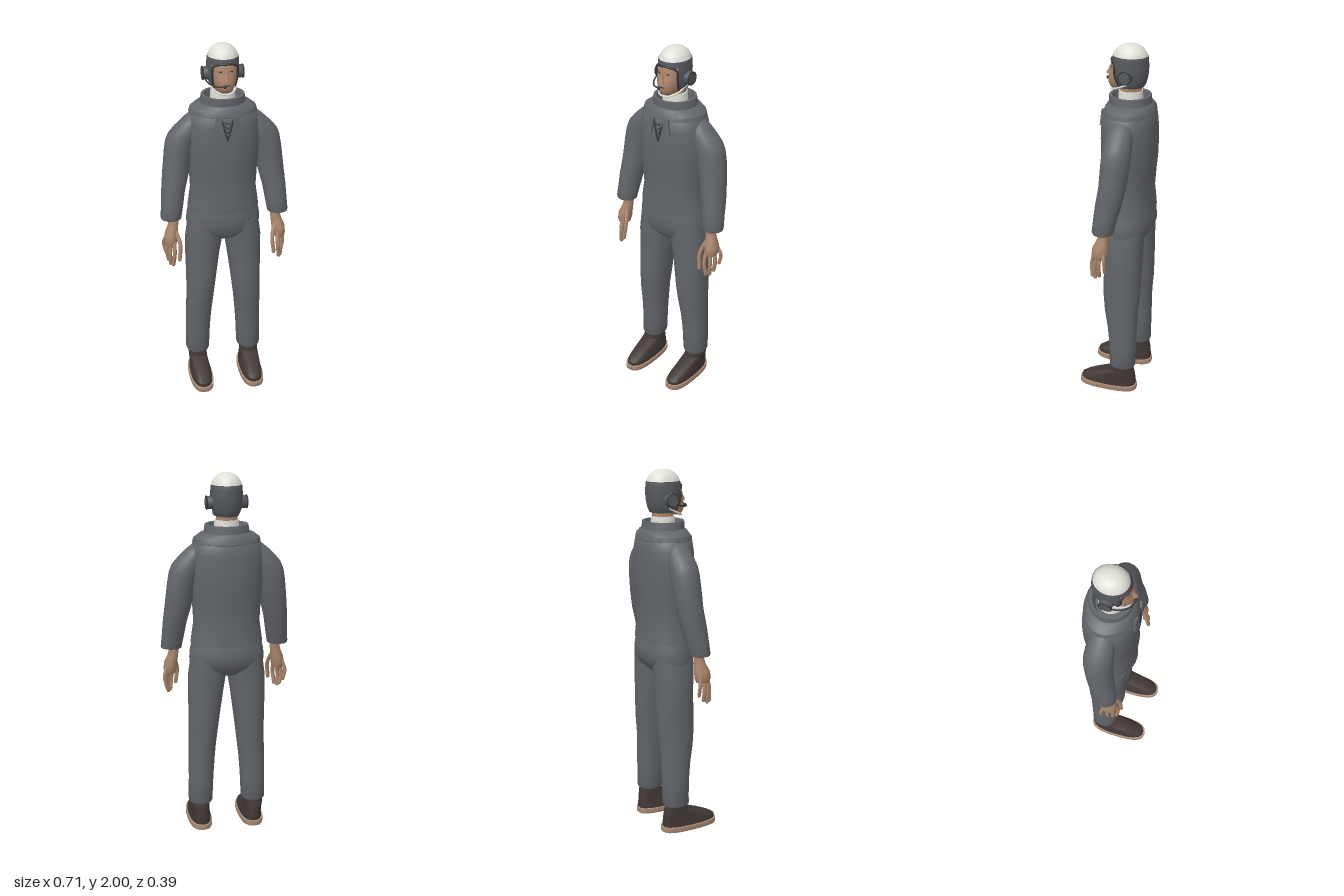
import * as THREE from 'three';
import { toCreasedNormals } from 'three/addons/utils/BufferGeometryUtils.js';

const mat = (name, color) => Object.assign(new THREE.MeshStandardMaterial({ color }), { name });

// Stack of horizontal superellipse rings, bottom to top: [y, xCentre, zBack, zFront, xRadius]
function loft(rings, { n = 32, power = 2, caps = true, side = 1, crease = 0.75 } = {}) {
  const pos = [], idx = [];
  const bend = v => Math.sign(v) * Math.abs(v) ** (2 / power);
  for (const [y, cx, back, front, rx] of rings) {
    for (let j = 0; j < n; j++) {
      const a = (j / n) * Math.PI * 2;
      pos.push(side * cx + rx * bend(Math.cos(a)), y,
        (back + front) / 2 + (front - back) / 2 * bend(Math.sin(a)));
    }
  }
  for (let i = 0; i < rings.length - 1; i++) {
    for (let j = 0; j < n; j++) {
      const k = (j + 1) % n, a = i * n + j, b = i * n + k;
      idx.push(a, a + n, b, b, a + n, b + n);
    }
  }
  if (caps) {
    [0, rings.length - 1].forEach((r, top) => {
      const [y, cx, back, front] = rings[r], c = pos.length / 3;
      pos.push(side * cx, y, (back + front) / 2);
      for (let j = 0; j < n; j++) {
        const a = r * n + j, b = r * n + (j + 1) % n;
        idx.push(c, top ? b : a, top ? a : b);
      }
    });
  }
  const g = new THREE.BufferGeometry();
  g.setAttribute('position', new THREE.Float32BufferAttribute(pos, 3));
  g.setIndex(idx);
  return toCreasedNormals(g, crease);
}

const tube = (pts, r, closed = false) => new THREE.TubeGeometry(
  new THREE.CatmullRomCurve3(pts.map(p => new THREE.Vector3(...p)), closed), 24, r, 7, closed);

export function createModel() {
  const suit = mat('suit grey', 0x62656a);
  const helmet = mat('helmet grey', 0x55585d);
  helmet.side = THREE.DoubleSide;
  const white = mat('helmet white', 0xe0dfd8);
  const skin = mat('skin', 0xa9846a);
  const leather = mat('shoe leather', 0x403835);
  const soleTan = mat('sole tan', 0xb08e76);
  const dark = mat('dark trim', 0x35373a);
  const model = new THREE.Group();
  const add = (name, geometry, material, x = 0, y = 0, z = 0, parent = model) => {
    const m = new THREE.Mesh(geometry, material);
    m.name = name;
    m.position.set(x, y, z);
    parent.add(m);
    return m;
  };

  // Jacket body and trouser seat
  add('jacketBody', loft([
    [1.085, 0, -0.187, 0.088, 0.197], [1.12, 0, -0.185, 0.09, 0.192], [1.2, 0, -0.177, 0.081, 0.181],
    [1.3, 0, -0.184, 0.089, 0.186], [1.4, 0, -0.193, 0.097, 0.194], [1.5, 0, -0.194, 0.098, 0.199],
    [1.58, 0, -0.19, 0.094, 0.196], [1.63, 0, -0.184, 0.085, 0.182], [1.67, 0, -0.16, 0.06, 0.14],
  ], { n: 40, power: 2.2 }), suit);
  add('trouserSeat', loft([
    [0.9, 0, -0.1, 0.02, 0.06], [0.915, 0, -0.135, 0.045, 0.13], [0.95, 0, -0.168, 0.07, 0.2],
    [1, 0, -0.187, 0.08, 0.206], [1.05, 0, -0.186, 0.084, 0.201], [1.12, 0, -0.17, 0.075, 0.182],
  ], { n: 40, power: 2.2 }), suit);

  // Flared cape collar with an open standing neck band
  add('collar', loft([
    [1.632, 0, -0.18, 0.08, 0.17], [1.637, 0, -0.188, 0.088, 0.184], [1.66, 0, -0.184, 0.083, 0.178],
    [1.683, 0, -0.173, 0.07, 0.146], [1.69, 0, -0.164, 0.062, 0.122], [1.73, 0, -0.16, 0.062, 0.116],
    [1.73, 0, -0.145, 0.047, 0.1], [1.67, 0, -0.13, 0.03, 0.085],
  ], { n: 40, caps: false, crease: 0.5 }), suit);
  add('undershirtCollar', loft([
    [1.68, 0, -0.118, 0.016, 0.07], [1.755, 0, -0.114, 0.012, 0.064],
    [1.755, 0, -0.11, 0.006, 0.058], [1.7, 0, -0.11, 0.006, 0.058],
  ], { caps: false }), white);

  // Laced neck opening with two hanging tails
  for (const s of [-1, 1]) {
    const tail = add('collarTail', new THREE.BoxGeometry(0.035, 0.085, 0.012), suit, s * 0.05, 1.603, 0.092);
    tail.rotation.set(-0.1, s * 0.2, s * 0.2);
    add('neckOpeningEdge', tube([[s * 0.032, 1.64, 0.09], [s * 0.018, 1.58, 0.097], [0, 1.515, 0.099]], 0.004), dark);
    for (let i = 0; i < 4; i++) {
      const y = 1.62 - i * 0.024, w = s * (0.024 - i * 0.005);
      add('lace', tube([[-w, y, 0.095], [w, y - 0.02, 0.099]], 0.0025), dark);
    }
  }

  for (const s of [1, -1]) {
    // Trouser leg
    add('trouserLeg', loft([
      [0.155, 0.151, -0.127, 0.012, 0.063], [0.165, 0.151, -0.131, 0.016, 0.067],
      [0.3, 0.147, -0.133, 0.02, 0.069], [0.4, 0.143, -0.136, 0.03, 0.072],
      [0.5, 0.137, -0.139, 0.048, 0.076], [0.6, 0.13, -0.149, 0.058, 0.081],
      [0.7, 0.124, -0.153, 0.058, 0.088], [0.8, 0.118, -0.155, 0.054, 0.096],
      [0.9, 0.109, -0.158, 0.062, 0.103], [1.02, 0.1, -0.165, 0.065, 0.095],
    ], { side: s, power: 2.2 }), suit);

    // Sleeve
    add('sleeve', loft([
      [1.05, 0.297, -0.05, 0.06, 0.056], [1.06, 0.297, -0.054, 0.063, 0.058],
      [1.12, 0.289, -0.068, 0.058, 0.061], [1.2, 0.28, -0.09, 0.05, 0.065],
      [1.3, 0.262, -0.11, 0.036, 0.073], [1.42, 0.245, -0.125, 0.03, 0.077],
      [1.48, 0.23, -0.127, 0.028, 0.082], [1.52, 0.212, -0.124, 0.026, 0.084],
      [1.56, 0.186, -0.118, 0.02, 0.076], [1.6, 0.16, -0.108, 0.01, 0.06],
      [1.64, 0.135, -0.085, -0.015, 0.035],
    ], { side: s, n: 20, crease: 1 }), suit);

    // Hand: wrist and palm, then five digits
    add('palm', loft([
      [0.9, 0.303, -0.015, 0.06, 0.03], [0.92, 0.304, -0.025, 0.067, 0.036],
      [0.96, 0.3, -0.025, 0.062, 0.037], [1, 0.29, -0.022, 0.042, 0.03],
      [1.03, 0.284, -0.02, 0.036, 0.028], [1.08, 0.285, -0.025, 0.036, 0.028],
    ], { side: s, n: 16 }), skin);
    const digits = [
      [[0.278, 0.98, 0.035], [0.258, 0.91, 0.068], [0.265, 0.825, 0.08]],
      [[0.29, 0.93, 0.05], [0.29, 0.86, 0.07], [0.298, 0.79, 0.065]],
      [[0.303, 0.92, 0.035], [0.313, 0.85, 0.048], [0.31, 0.787, 0.045]],
      [[0.316, 0.92, 0.015], [0.328, 0.86, 0.02], [0.318, 0.802, 0.02]],
      [[0.325, 0.94, -0.005], [0.34, 0.89, -0.015], [0.33, 0.835, -0.015]],
    ];
    digits.forEach((d, i) => {
      const pts = d.map(([x, y, z]) => [s * x, y, z]);
      const r = i === 4 ? 0.0095 : 0.011;
      add(i ? 'finger' : 'thumb', tube(pts, r), skin);
      add('fingertip', new THREE.SphereGeometry(r, 8, 6), skin, ...pts[2]);
    });

    // Shoe
    add('shoeSole', loft([
      [0, 0.148, -0.138, 0.195, 0.064], [0.006, 0.148, -0.14, 0.198, 0.067], [0.03, 0.148, -0.14, 0.197, 0.067],
    ], { side: s, power: 2.7 }), soleTan);
    add('shoeUpper', loft([
      [0.028, 0.148, -0.133, 0.189, 0.06], [0.05, 0.148, -0.134, 0.188, 0.059],
      [0.068, 0.149, -0.132, 0.16, 0.056], [0.095, 0.151, -0.13, 0.1, 0.053],
      [0.125, 0.153, -0.122, 0.015, 0.052], [0.18, 0.154, -0.11, 0, 0.052],
    ], { side: s, n: 18, power: 2.5, crease: 0.4 }), leather);
  }

  // Neck and face
  add('neck', loft([[1.66, 0, -0.11, 0.005, 0.058], [1.83, 0, -0.108, 0, 0.056]]), skin);
  add('face', loft([
    [1.757, 0, 0, 0.042, 0.024], [1.768, 0, -0.06, 0.06, 0.042], [1.79, 0, -0.1, 0.069, 0.054],
    [1.82, 0, -0.11, 0.068, 0.064], [1.85, 0, -0.11, 0.06, 0.07], [1.875, 0, -0.11, 0.051, 0.072],
    [1.9, 0, -0.11, 0.054, 0.072], [1.935, 0, -0.11, 0.03, 0.06],
  ], { power: 2.2 }), skin);
  const nose = add('nose', new THREE.ConeGeometry(0.016, 0.055, 8), skin, 0, 1.858, 0.063);
  nose.rotation.x = -0.2;
  for (const s of [-1, 1]) {
    const eye = add('eye', new THREE.SphereGeometry(0.008, 10, 6), leather, s * 0.028, 1.877, 0.047);
    eye.scale.set(1.2, 0.5, 0.4);
  }
  add('mouth', new THREE.BoxGeometry(0.034, 0.005, 0.008), leather, 0, 1.808, 0.067);

  // Helmet: white crown, brow band and grey shell open at the face
  const turn = (pts, start = 0, length = Math.PI * 2) => new THREE.LatheGeometry(
    new THREE.SplineCurve(pts.map(p => new THREE.Vector2(...p))).getPoints(16), 40, start, length);
  const shellPart = (name, geo, m) => add(name, geo, m, 0, 0, -0.049).scale.set(1, 1, 1.14);
  shellPart('helmetCrown', turn([[0.08, 1.938], [0.07, 1.962], [0.053, 1.982], [0.03, 1.995], [0, 2]]), white);
  shellPart('helmetBrow', turn([[0.0845, 1.908], [0.084, 1.92], [0.081, 1.939]]), helmet);
  const gap = 0.86;
  shellPart('helmetShell', turn([
    [0.064, 1.775], [0.075, 1.8], [0.083, 1.84], [0.0855, 1.88], [0.0845, 1.91],
  ], gap, Math.PI * 2 - 2 * gap), helmet);
  add('faceOpeningTrim', tube([
    [-0.056, 1.78, -0.005], [-0.066, 1.84, 0.016], [-0.063, 1.895, 0.02], [-0.035, 1.912, 0.041],
    [0, 1.916, 0.05], [0.035, 1.912, 0.041], [0.063, 1.895, 0.02], [0.066, 1.84, 0.016], [0.056, 1.78, -0.005],
  ], 0.006), dark);

  // Ear cups, chin strap and microphone boom
  for (const s of [-1, 1]) {
    const cup = add('earCup', new THREE.CylinderGeometry(0.032, 0.037, 0.034, 20), helmet, s * 0.092, 1.845, -0.05);
    cup.rotation.z = -s * Math.PI / 2;
    const ring = add('earCupRing', new THREE.TorusGeometry(0.033, 0.004, 8, 24), dark, s * 0.107, 1.845, -0.05);
    ring.rotation.y = Math.PI / 2;
  }
  add('chinStrap', tube([
    [-0.073, 1.8, -0.055], [-0.06, 1.773, 0.005], [-0.032, 1.758, 0.045], [0, 1.754, 0.052],
    [0.032, 1.758, 0.045], [0.06, 1.773, 0.005], [0.073, 1.8, -0.055],
  ], 0.005), white);
  add('microphoneBoom', tube([
    [-0.1, 1.825, -0.03], [-0.085, 1.81, 0.02], [-0.05, 1.805, 0.065], [-0.012, 1.805, 0.078],
  ], 0.004), dark);
  add('microphone', new THREE.SphereGeometry(0.009, 10, 8), dark, -0.01, 1.805, 0.078);

  return model;
}
